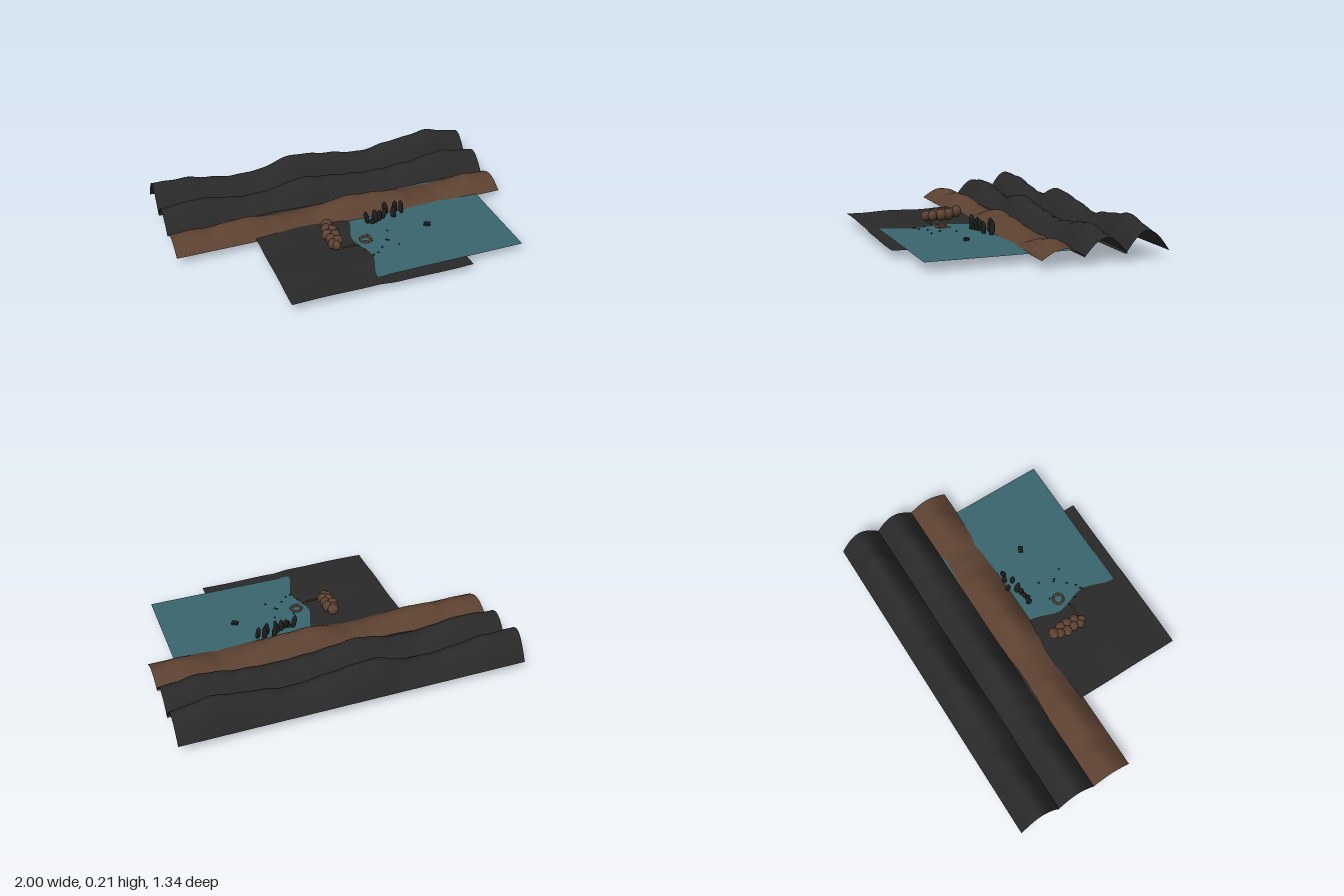
import * as THREE from 'three';

const mat = (name, color) => {
  const m = new THREE.MeshStandardMaterial({ color, side: THREE.DoubleSide });
  m.name = name;
  return m;
};

export function createModel() {
  const group = new THREE.Group();
  const slate = mat('dark slate', 0x292929);
  const brown = mat('earth brown', 0x5c4131);
  const teal = mat('teal water', 0x3a656e);
  const black = mat('charred black', 0x1c1d1d);

  const add = (name, geo, material, x = 0, y = 0, z = 0, parent = group) => {
    const m = new THREE.Mesh(geo, material);
    m.name = name;
    m.position.set(x, y, z);
    parent.add(m);
    return m;
  };

  // Horizontal sheet whose height follows a rule y = height(x, z)
  const sheet = (x0, x1, z0, z1, nx, nz, height) => {
    const g = new THREE.PlaneGeometry(x1 - x0, z1 - z0, nx, nz).rotateX(-Math.PI / 2);
    g.translate((x0 + x1) / 2, 0, (z0 + z1) / 2);
    const p = g.attributes.position;
    for (let i = 0; i < p.count; i++) p.setY(i, height(p.getX(i), p.getZ(i)));
    g.computeVertexNormals();
    return g;
  };

  // Rolling ground, stepping down under the water
  const ground = (x, z) =>
    0.063 - 0.013 * THREE.MathUtils.smoothstep(x, -0.06, 0.06)
    + 0.003 * Math.sin(z * 17 + 1) + 0.002 * Math.sin(x * 13);
  add('ground', sheet(-0.54, 0.51, -0.48, 0.67, 50, 50, ground), slate);

  // Flat water
  add('water', sheet(-0.03, 0.85, -0.28, 0.6, 1, 1, () => 0.057), teal);

  // Three arched ridges; crest heights are evenly spaced from x = -1 to 1
  const ridge = (name, material, z, half, crest) => {
    const curve = new THREE.SplineCurve(crest.map((h, i) => new THREE.Vector2(i, h)));
    const height = (x, pz) => {
      const top = curve.getPoint(THREE.MathUtils.clamp((x + 1) / 2, 0, 1)).y;
      const ripple = 0.003 * Math.sin(x * 41 + z * 20);
      const u = THREE.MathUtils.clamp((pz - z) / half, -1, 1);
      return 0.052 + (top + ripple - 0.052) * Math.cos(u * Math.PI / 2);
    };
    add(name, sheet(-1, 1, z - half, z + half, 100, 20, height), material);
  };
  ridge('frontRidge', brown, -0.08, 0.122,
    [0.105, 0.122, 0.11, 0.12, 0.132, 0.125, 0.105, 0.09, 0.08, 0.1, 0.135,
      0.14, 0.13, 0.12, 0.1, 0.08, 0.072, 0.095, 0.12, 0.115, 0.1]);
  ridge('middleRidge', slate, -0.313, 0.122,
    [0.155, 0.165, 0.175, 0.165, 0.145, 0.13, 0.13, 0.145, 0.175, 0.182, 0.165,
      0.15, 0.14, 0.13, 0.13, 0.14, 0.15, 0.172, 0.18, 0.16, 0.145]);
  ridge('backRidge', slate, -0.546, 0.126,
    [0.2, 0.193, 0.195, 0.175, 0.157, 0.14, 0.145, 0.155, 0.198, 0.21, 0.197,
      0.182, 0.165, 0.145, 0.15, 0.175, 0.185, 0.203, 0.213, 0.183, 0.168]);

  // Heap of overlapping boulders
  const heap = new THREE.Group();
  heap.name = 'boulderHeap';
  group.add(heap);
  [[-0.14, 0.11, 0.1, 0.034], [-0.155, 0.1, 0.13, 0.034], [-0.125, 0.098, 0.155, 0.034],
    [-0.165, 0.096, 0.18, 0.033], [-0.125, 0.096, 0.2, 0.034], [-0.16, 0.095, 0.225, 0.033],
    [-0.13, 0.093, 0.25, 0.032], [-0.165, 0.09, 0.265, 0.03], [-0.15, 0.09, 0.285, 0.029]]
    .forEach(([x, y, z, r], i) => {
      const b = add('boulder', new THREE.SphereGeometry(r, 16, 10), brown, x, y, z, heap);
      b.scale.set(1, 1, 0.85);
      b.rotation.y = i;
    });

  // Upright black spikes along the shore
  const spikes = new THREE.Group();
  spikes.name = 'shoreSpikes';
  group.add(spikes);
  [[0.11, 0.09, 0.09], [0.14, 0.05, 0.1], [0.162, 0.085, 0.09], [0.19, 0.08, 0.088],
    [0.222, 0.085, 0.08], [0.25, 0.09, 0.032], [0.282, 0.08, 0.083],
    [0.307, 0.09, 0.042], [0.342, 0.09, 0.055]]
    .forEach(([x, y, z], i) => {
      const s = add('spike', new THREE.SphereGeometry(1, 12, 10), black, x, y, z, spikes);
      s.scale.set(0.014, 0.045, 0.017);
      s.rotation.set(0.2 * Math.sin(i * 2), i * 0.7, 0.22 * Math.cos(i * 1.7));
    });

  // Small ring, twig and stone lying by the water
  add('ring', new THREE.TorusGeometry(0.03, 0.007, 8, 20).rotateX(Math.PI / 2), brown, 0.04, 0.062, 0.25);
  add('twig', new THREE.CylinderGeometry(0.005, 0.005, 0.08, 8).rotateZ(Math.PI / 2), brown, -0.075, 0.068, 0.29);
  const stone = add('stone', new THREE.BoxGeometry(0.038, 0.014, 0.028), black, 0.43, 0.062, 0.235);
  stone.rotation.y = -0.5;

  // Scattered pebbles
  const pebble = new THREE.SphereGeometry(0.0055, 8, 6);
  [[-0.02, 0.29], [0, 0.34], [0.02, 0.41], [0.03, 0.4], [0.06, 0.39], [0.07, 0.21],
    [0.1, 0.35], [0.07, 0.27], [0.15, 0.29], [0.19, 0.21], [0.2, 0.36], [0.16, 0.3]]
    .forEach(([x, z]) => add('pebble', pebble, black, x, 0.057, z));

  return group;
}
